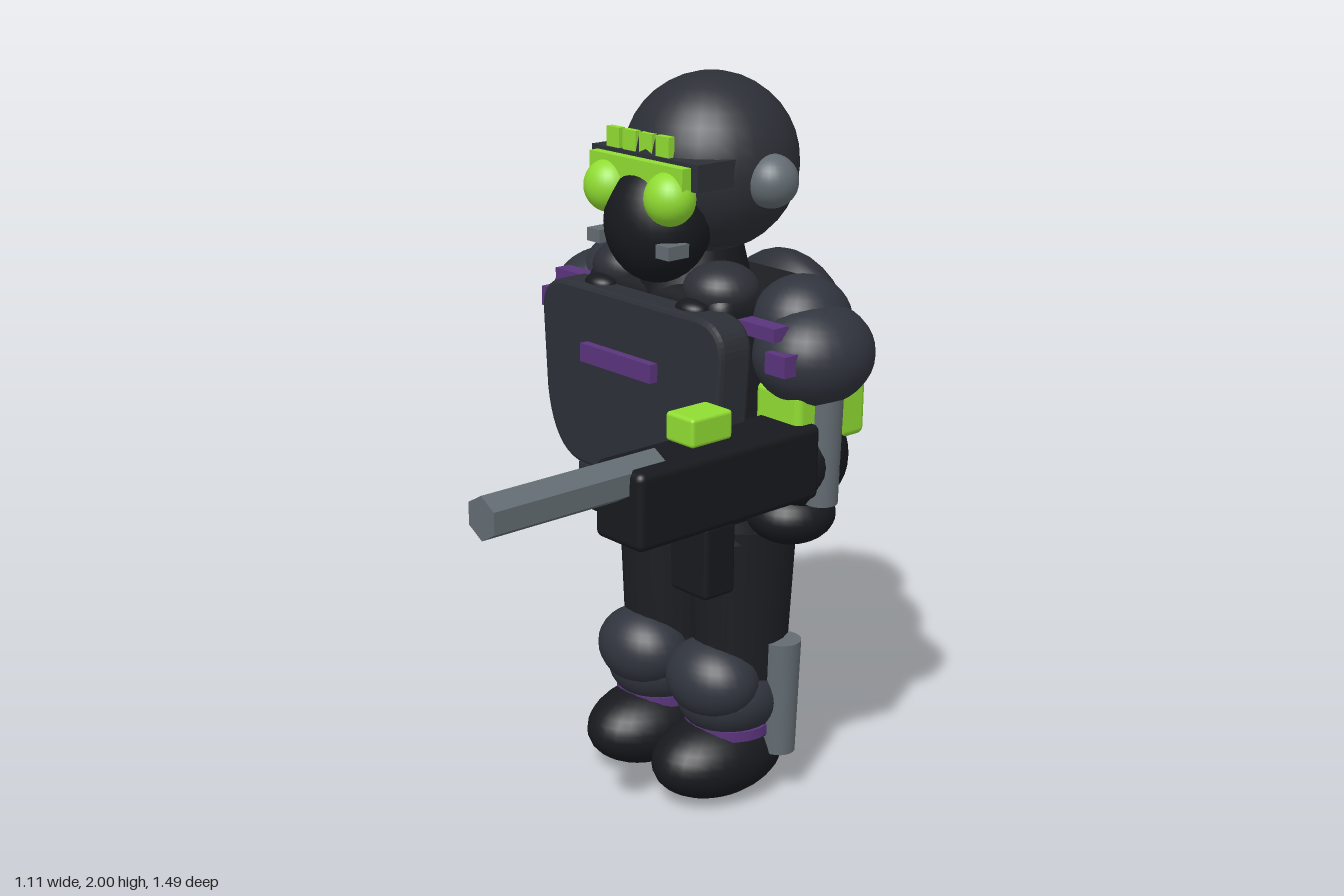
import * as THREE from 'three';
import { RoundedBoxGeometry } from 'three/addons/geometries/RoundedBoxGeometry.js';

const mat = (color) => new THREE.MeshStandardMaterial({ color });

export function createModel() {
  const root = new THREE.Group();
  const slate = mat(0x2c2f36), black = mat(0x17191e), cloth = mat(0x1c1e22);
  const armour = mat(0x30343d), grey = mat(0x636c72), green = mat(0x90dc32), purple = mat(0x5a347c);

  const add = (name, geometry, material, [x, y, z], parent = root) => {
    const mesh = new THREE.Mesh(geometry, material);
    mesh.name = name;
    mesh.position.set(x, y, z);
    parent.add(mesh);
    return mesh;
  };
  const ball = (name, material, pos, [rx, ry, rz], parent) =>
    add(name, new THREE.SphereGeometry(1, 28, 18).scale(rx, ry, rz), material, pos, parent);
  const box = (name, material, pos, [w, h, d], r = 0, parent = root) =>
    add(name, r ? new RoundedBoxGeometry(w, h, d, 3, r) : new THREE.BoxGeometry(w, h, d), material, pos, parent);
  const tube = (name, material, pos, top, bottom, h, depth = 1, parent = root, sides = 20) =>
    add(name, new THREE.CylinderGeometry(top, bottom, h, sides).scale(1, 1, depth), material, pos, parent);

  // Head, mask and visor
  const head = new THREE.Group();
  head.name = 'head';
  root.add(head);
  ball('helmet', slate, [0, 1.765, -0.325], [0.235, 0.235, 0.235], head);
  ball('faceMask', black, [0, 1.63, -0.14], [0.15, 0.16, 0.135], head);
  box('visorBand', slate, [0, 1.775, -0.155], [0.41, 0.07, 0.13], 0, head);
  box('visorStrip', green, [0, 1.77, -0.078], [0.36, 0.06, 0.035], 0, head);
  for (let i = 0; i < 4; i++)
    box('visorLight', green, [-0.13 + i * 0.064, 1.835, -0.108], [0.05, 0.055, 0.02], 0, head);
  for (const s of [-1, 1]) {
    ball('goggleLens', green, [s * 0.118, 1.715, -0.075], [0.07, 0.07, 0.065], head);
    ball('earCup', grey, [s * 0.228, 1.745, -0.325], [0.07, 0.07, 0.07], head);
    box('maskVent', grey, [s * 0.135, 1.585, -0.07], [0.05, 0.035, 0.07], 0, head);
  }

  // Torso, collar and backpack
  tube('neck', black, [0, 1.5, -0.27], 0.13, 0.16, 0.12);
  box('torso', cloth, [0, 1.16, -0.3], [0.55, 0.64, 0.38], 0.05);
  tube('skirt', cloth, [0, 0.865, -0.33], 0.245, 0.278, 0.175, 0.87);
  box('beltFront', black, [0, 0.86, -0.13], [0.5, 0.16, 0.08], 0.015);
  ball('backpack', slate, [0, 1.178, -0.615], [0.26, 0.308, 0.13]);

  // Chest plate: tapered shield with rounded corners
  const plate = new THREE.Shape();
  plate.moveTo(-0.18, 0.95);
  plate.lineTo(0.18, 0.95);
  plate.bezierCurveTo(0.27, 0.95, 0.315, 1.02, 0.33, 1.13);
  plate.lineTo(0.345, 1.35);
  plate.quadraticCurveTo(0.345, 1.43, 0.25, 1.43);
  plate.lineTo(-0.25, 1.43);
  plate.quadraticCurveTo(-0.345, 1.43, -0.345, 1.35);
  plate.lineTo(-0.33, 1.13);
  plate.bezierCurveTo(-0.315, 1.02, -0.27, 0.95, -0.18, 0.95);
  add('chestPlate', new THREE.ExtrudeGeometry(plate, {
    depth: 0.08, bevelThickness: 0.013, bevelSize: 0.012, bevelSegments: 2, curveSegments: 10,
  }), slate, [0, 0, -0.13]);
  box('chestStripe', purple, [0, 1.275, -0.005], [0.28, 0.05, 0.025]);

  // Paired limbs and their gear
  for (const s of [-1, 1]) {
    const arm = new THREE.Group();
    arm.name = s > 0 ? 'leftArm' : 'rightArm';
    const leg = new THREE.Group();
    leg.name = s > 0 ? 'leftLeg' : 'rightLeg';
    root.add(arm, leg);

    ball('collarPad', slate, [s * 0.18, 1.475, -0.2], [0.1, 0.07, 0.1]);
    ball('strapKnob', black, [s * 0.18, 1.44, -0.1], [0.05, 0.025, 0.04]);
    box('beltPouch', slate, [s * 0.22, 0.86, -0.13], [0.1, 0.13, 0.09], 0.015);
    box('rearPouch', black, [s * 0.17, 0.86, -0.53], [0.1, 0.1, 0.06], 0.015);

    ball('shoulderPad', armour, [s * 0.405, 1.33, -0.315], [0.15, 0.135, 0.165], arm);
    ball('shoulderCap', armour, [s * 0.34, 1.395, -0.335], [0.128, 0.125, 0.135], arm);
    box('shoulderStripe', purple, [s * 0.365, 1.41, -0.17], [0.13, 0.035, 0.05], 0, arm);
    box('shoulderMark', purple, [s * 0.445, 1.34, -0.165], [0.07, 0.055, 0.06], 0, arm);
    box('armBand', green, [s * 0.385, 1.178, -0.33], [0.16, 0.155, 0.25], 0.02, arm);
    ball('forearm', black, [s * 0.375, 1.05, -0.31], [0.118, 0.14, 0.13], arm);
    ball('hand', black, [s * 0.345, 0.883, -0.31], [0.115, 0.08, 0.122], arm);
    tube('armTube', grey, [s * 0.452, 1.09, -0.31], 0.05, 0.044, 0.3, 1, arm);

    tube('thigh', cloth, [s * 0.145, 0.5, -0.33], 0.142, 0.115, 0.62, 1.1, leg);
    ball('kneePad', armour, [s * 0.145, 0.36, -0.225], [0.142, 0.113, 0.12], leg);
    ball('shinGuard', armour, [s * 0.145, 0.3, -0.29], [0.146, 0.12, 0.155], leg);
    tube('ankleBand', purple, [s * 0.145, 0.213, -0.29], 0.125, 0.125, 0.03, 1, leg);
    ball('boot', black, [s * 0.14, 0.12, -0.255], [0.145, 0.117, 0.214], leg);
    tube('legTube', grey, [s * 0.265, 0.307, -0.37], 0.055, 0.046, 0.335, 1, leg);
  }

  // Gun carried on the left side
  const gun = new THREE.Group();
  gun.name = 'gun';
  root.add(gun);
  box('gunBody', black, [0.402, 1.07, 0.038], [0.172, 0.2, 0.61], 0.02, gun);
  box('gunGrip', black, [0.405, 0.88, 0.062], [0.135, 0.2, 0.105], 0.015, gun);
  box('gunSight', green, [0.401, 1.22, 0.077], [0.1, 0.075, 0.135], 0.01, gun);
  const barrelMat = grey.clone();
  barrelMat.flatShading = true;
  const barrel = tube('gunBarrel', barrelMat, [0.402, 1.138, 0.484], 0.055, 0.055, 0.522, 1, gun, 6);
  barrel.rotation.x = Math.PI / 2;

  return root;
}
